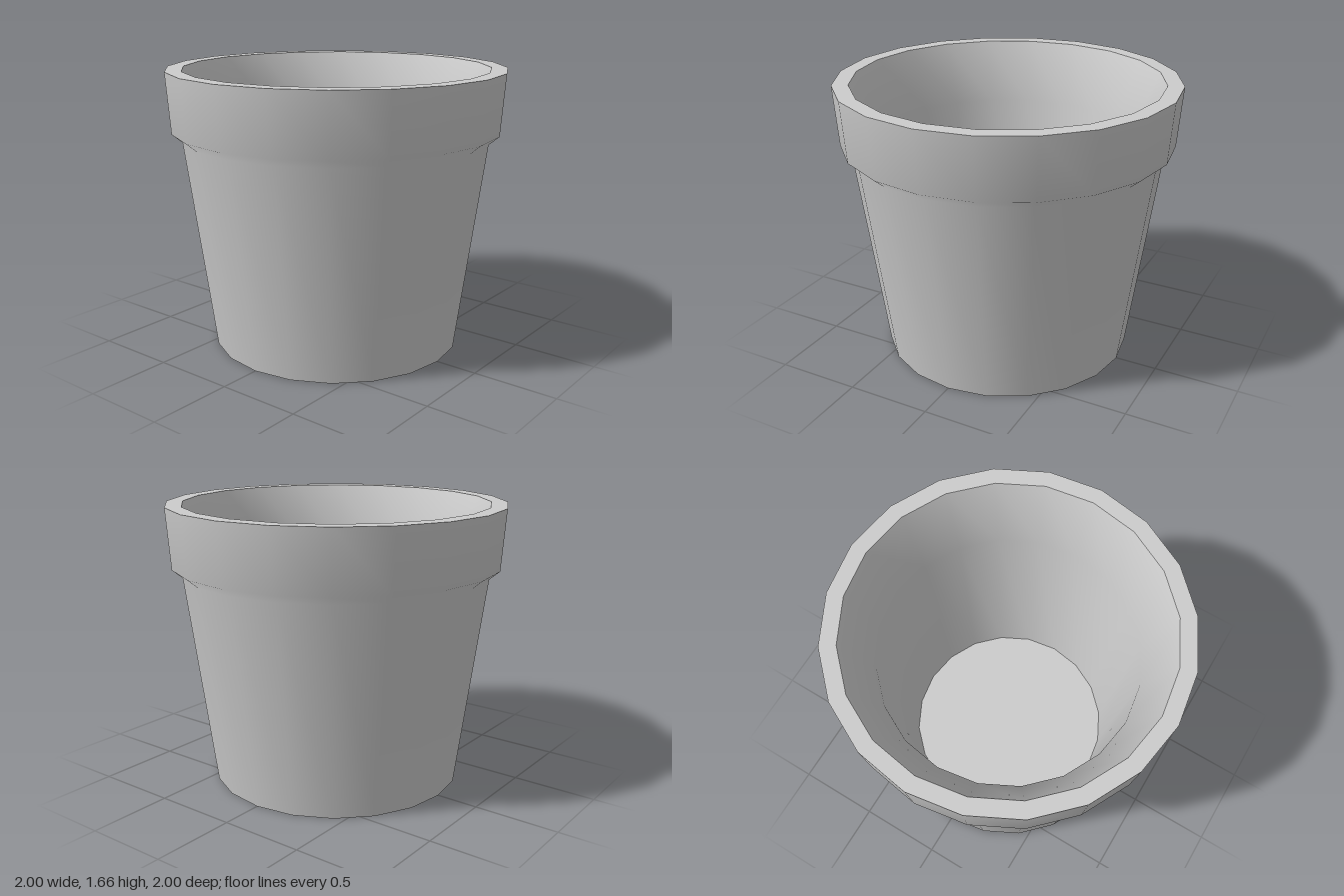
import * as THREE from 'three';

const SIDES = 20;

export function createModel() {
  const pot = new THREE.Group();
  pot.name = 'plantPot';
  const material = new THREE.MeshStandardMaterial({ color: 0xcccccc });

  const add = (name, geometry) => {
    const mesh = new THREE.Mesh(geometry, material);
    mesh.name = name;
    pot.add(mesh);
    return mesh;
  };
  // Profile of [radius, height] pairs: rising faces outward, falling faces inward
  const lathe = (profile) =>
    new THREE.LatheGeometry(profile.map(([r, y]) => new THREE.Vector2(r, y)), SIDES);
  // Flat horizontal disc facing up or down
  const disc = (name, radius, y, up) => {
    const mesh = add(name, new THREE.CircleGeometry(radius, SIDES));
    mesh.rotation.x = up ? -Math.PI / 2 : Math.PI / 2;
    mesh.position.y = y;
  };

  // Tapered body with the thicker collar at the top
  add('outerWall', lathe([[0.75, 0], [0.915, 1.26], [0.975, 1.31], [1, 1.665]]));

  // Flat top of the collar
  const rim = add('rim', new THREE.RingGeometry(0.905, 1, SIDES));
  rim.rotation.x = -Math.PI / 2;
  rim.position.y = 1.665;

  // Inside: sloped mouth, then a steeper wall down to the floor
  add('innerWall', lathe([[0.905, 1.665], [0.745, 1.31], [0.615, 0.15]]));
  disc('innerFloor', 0.615, 0.15, true);

  // Closed underside
  disc('base', 0.75, 0, false);

  return pot;
}
